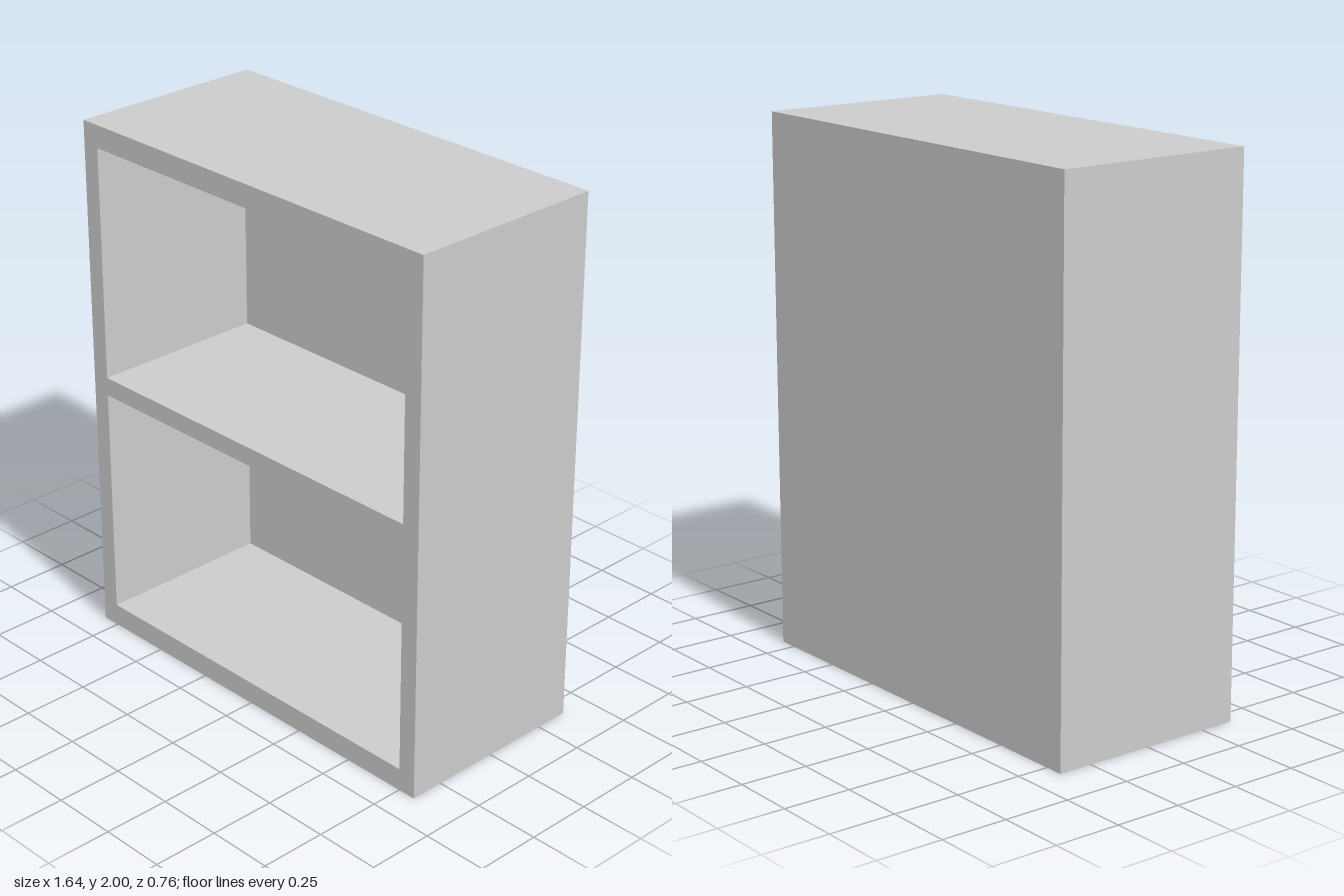
import * as THREE from 'three';

const W = 1.64, H = 2, D = 0.76;          // overall size
const SIDE = 0.07, CAP = 0.085, SHELF = 0.07, BACK = 0.08; // board thicknesses

export function createModel() {
  const group = new THREE.Group();
  group.name = 'bookcase';
  const material = new THREE.MeshStandardMaterial({ color: 0xcccccc, flatShading: true });

  // Front outline with one opening per compartment
  const rect = (Path, x, y0, y1) => new Path([[-x, y0], [x, y0], [x, y1], [-x, y1]].map(p => new THREE.Vector2(...p)));
  const outline = rect(THREE.Shape, W / 2, 0, H);
  const inner = W / 2 - SIDE;
  const openings = [[CAP, H / 2 - SHELF / 2], [H / 2 + SHELF / 2, H - CAP]];
  for (const [y0, y1] of openings) outline.holes.push(rect(THREE.Path, inner, y0, y1));

  // Sides, top, bottom and middle shelf as one frame
  const frame = new THREE.Mesh(
    new THREE.ExtrudeGeometry(outline, { depth: D - BACK, bevelEnabled: false }), material);
  frame.name = 'frameWithShelf';
  frame.position.z = -D / 2 + BACK;
  group.add(frame);

  // Solid back
  const back = new THREE.Mesh(new THREE.BoxGeometry(W, H, BACK), material);
  back.name = 'backPanel';
  back.position.set(0, H / 2, -D / 2 + BACK / 2);
  group.add(back);

  return group;
}
